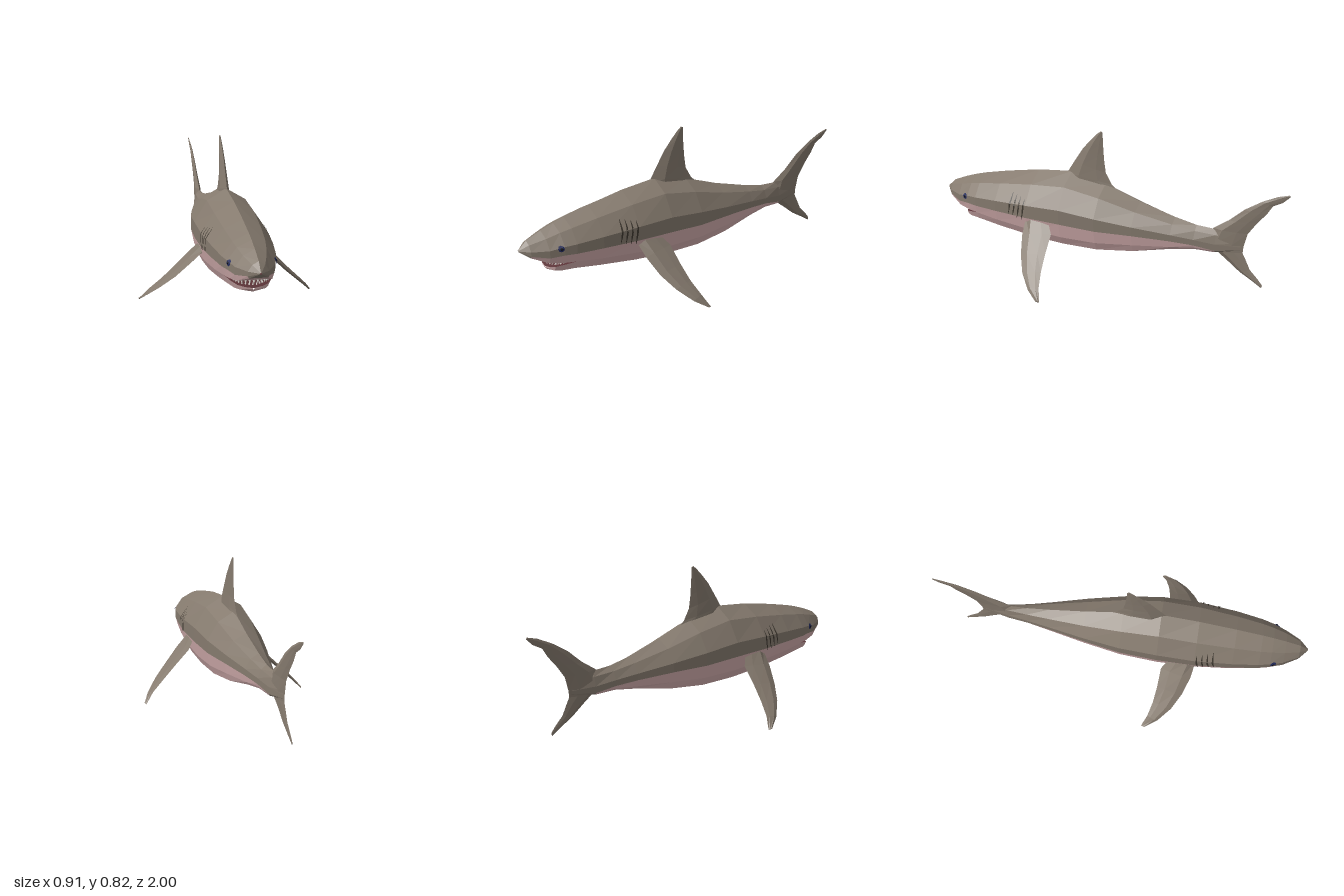
import * as THREE from 'three';

const mat = (name, color, side = THREE.FrontSide) => {
  const m = new THREE.MeshStandardMaterial({ color, side });
  m.name = name;
  return m;
};

// Faceted mesh from a list of triangles (each three Vector3)
function facets(name, tris, material) {
  const g = new THREE.BufferGeometry().setFromPoints(tris.flat());
  g.computeVertexNormals();
  const mesh = new THREE.Mesh(g, material);
  mesh.name = name;
  return mesh;
}

// Skin between successive rings; rings run nose to tail, counterclockwise from the front
function skin(rings, closed = false) {
  const tris = [];
  for (let i = 0; i < rings.length - 1; i++) {
    const a = rings[i], b = rings[i + 1], n = a.length;
    for (let j = 0; j < (closed ? n : n - 1); j++) {
      const k = (j + 1) % n;
      tris.push([a[j], b[j], b[k]], [a[j], b[k], a[k]]);
    }
  }
  return tris;
}

// Body stations: z, half width, top, colour line, cheek, bottom
const body = [
  [0.995, 0.004, 0.358, 0.353, 0.352, 0.35],
  [0.95, 0.05, 0.4, 0.332, 0.322, 0.3],
  [0.87, 0.092, 0.435, 0.318, 0.29, 0.25],
  [0.8, 0.115, 0.46, 0.325, 0.282, 0.23],
  [0.74, 0.13, 0.478, 0.325, 0.28, 0.222],
  [0.6, 0.15, 0.512, 0.328, 0.27, 0.208],
  [0.4, 0.167, 0.553, 0.33, 0.26, 0.19],
  [0.2, 0.166, 0.578, 0.33, 0.25, 0.178],
  [0, 0.15, 0.54, 0.322, 0.25, 0.18],
  [-0.2, 0.115, 0.475, 0.322, 0.265, 0.205],
  [-0.4, 0.072, 0.425, 0.315, 0.28, 0.255],
  [-0.52, 0.048, 0.403, 0.307, 0.293, 0.278],
  [-0.63, 0.028, 0.4, 0.29, 0.285, 0.278],
  [-0.76, 0.004, 0.36, 0.31, 0.308, 0.306],
];
const jaw = [
  [0.852, 0.004, 0, 0.247, 0.245, 0.238],
  [0.848, 0.045, 0, 0.29, 0.251, 0.23],
  [0.832, 0.08, 0, 0.3, 0.258, 0.222],
  [0.8, 0.105, 0, 0.31, 0.268, 0.22],
  body[4],
];

// Half-section points of one station
function section([z, w, top, line, cheek, bot]) {
  const p = (x, y) => new THREE.Vector3(x, y, z);
  return {
    top: p(0, top), shoulder: p(0.6 * w, line + (top - line) * 0.76),
    mid: p(w, line + (top - line) * 0.32), line: p(w, line),
    cheek: p(0.9 * w, cheek), low: p(0.76 * w, bot + (line - bot) * 0.17), bottom: p(0, bot),
  };
}
const mirror = (v) => new THREE.Vector3(-v.x, v.y, v.z);
const pick = (rows, ...keys) => rows.map((r) => {
  const s = section(r);
  return keys.map((k) => (k[0] === '-' ? mirror(s[k.slice(1)]) : s[k]));
});

// Point on the flank, lifted slightly, at a given height and length position
function onFlank(side, y, z, lift) {
  const i = Math.max(1, body.findIndex((r) => r[0] <= z));
  const a = body[i - 1], b = body[i], t = (z - a[0]) / (b[0] - a[0]);
  const s = section(a.map((v, k) => v + (b[k] - v) * t));
  const pts = [s.line, s.mid, s.shoulder, s.top];
  let k = 0;
  while (k < 2 && y > pts[k + 1].y) k++;
  const u = (y - pts[k].y) / (pts[k + 1].y - pts[k].y);
  return new THREE.Vector3(side * (pts[k].x + (pts[k + 1].x - pts[k].x) * u + lift), y, z);
}

// Tapered fin: stations of [leading point, trailing point, half thickness]
function fin(name, stations, normal, material) {
  const rings = stations.map(([lead, trail, t]) => {
    const at = (f, h) => lead.clone().lerp(trail, f).addScaledVector(normal, h * t);
    return [at(0, 0), at(0.28, 1), at(0.7, 0.6), at(1, 0), at(0.7, -0.6), at(0.28, -1)];
  });
  let tris = skin(rings, true);
  for (const [r, flip] of [[rings[0], false], [rings[rings.length - 1], true]])
    for (let i = 1; i < 5; i++)
      tris.push(flip ? [r[0], r[i + 1], r[i]] : [r[0], r[i], r[i + 1]]);
  // Turn the skin outward when it encloses a negative volume
  const c = rings[0][0];
  const volume = tris.reduce((sum, [p, q, r]) => sum +
    p.clone().sub(c).dot(q.clone().sub(c).cross(r.clone().sub(c))), 0);
  if (volume < 0) tris = tris.map(([p, q, r]) => [p, r, q]);
  return facets(name, tris, material);
}
const flat = (rows) => rows.map(([z1, y1, z2, y2, t]) =>
  [new THREE.Vector3(0, y1, z1), new THREE.Vector3(0, y2, z2), t]);

export function createModel() {
  const model = new THREE.Group();
  model.name = 'shark';
  const grey = mat('greyBrownSkin', 0x857a6e);
  const pink = mat('paleBelly', 0xd2adad);
  const mouth = mat('mouthInside', 0x5a3236, THREE.DoubleSide);
  const white = mat('teeth', 0xf0ece4);
  const dark = mat('gillSlits', 0x3d372f, THREE.DoubleSide);
  const navy = mat('eyeBlue', 0x222a5c, THREE.DoubleSide);
  const black = mat('pupil', 0x0c0d14, THREE.DoubleSide);

  // Body: dark back, pale belly, and a grey tail root
  model.add(facets('back', skin(pick(body, 'line', 'mid', 'shoulder', 'top',
    '-shoulder', '-mid', '-line')), grey));
  const under = ['-line', '-cheek', '-low', 'bottom', 'low', 'cheek', 'line'];
  model.add(facets('belly', skin(pick(body.slice(4, 13), ...under)), pink));
  model.add(facets('tailRoot', skin(pick(body.slice(12), ...under)), grey));

  // Head: upper lip, snout underside, lower jaw and open mouth
  const head = body.slice(0, 5);
  model.add(facets('upperLip', [...skin(pick(head.slice(1), '-line', '-cheek')),
    ...skin(pick(head.slice(1), 'cheek', 'line'))], pink));
  model.add(facets('noseUnderside', skin(pick(head.slice(0, 2), '-line', '-cheek', 'cheek', 'line')), grey));
  model.add(facets('snoutUnderside', skin(pick(head.slice(1, 3), '-cheek', 'cheek')), pink));
  model.add(facets('palate', skin(pick(head.slice(2), '-cheek', 'cheek')), mouth));
  model.add(facets('lowerJaw', skin(pick(jaw, '-cheek', '-low', 'bottom', 'low', 'cheek')), pink));
  model.add(facets('mouthFloor', skin(pick(jaw, 'cheek', '-cheek')), mouth));

  // Teeth along both jaws
  const tooth = new THREE.ConeGeometry(0.0075, 0.024, 4).toNonIndexed();
  tooth.computeVertexNormals();
  for (let i = 0; i < 13; i++) {
    const a = (i / 12 - 0.5) * 2.7, c = Math.cos(a), s = Math.sin(a);
    const upper = new THREE.Mesh(tooth, white);
    upper.name = 'upperTooth';
    upper.rotation.x = Math.PI;
    upper.position.set(0.086 * s, 0.276, 0.775 + 0.082 * c);
    const lower = new THREE.Mesh(tooth, white);
    lower.name = 'lowerTooth';
    lower.scale.setScalar(0.8);
    lower.position.set(0.078 * s, 0.275 - 0.014 * c, 0.775 + 0.06 * c);
    model.add(upper, lower);
  }

  // Dorsal and tail fins
  const X = new THREE.Vector3(1, 0, 0);
  model.add(fin('dorsalFin', flat([
    [0.24, 0.55, -0.1, 0.485, 0.026], [0.22, 0.58, -0.035, 0.54, 0.024], [0.18, 0.645, 0, 0.6, 0.018],
    [0.135, 0.715, 0.01, 0.67, 0.013], [0.09, 0.768, 0.015, 0.74, 0.009],
    [0.05, 0.81, 0.018, 0.795, 0.005], [0.03, 0.826, 0.018, 0.82, 0.003]]), X, grey));
  model.add(fin('upperTailLobe', flat([
    [-0.58, 0.34, -0.775, 0.33, 0.02], [-0.61, 0.405, -0.793, 0.405, 0.015],
    [-0.69, 0.462, -0.84, 0.475, 0.011], [-0.77, 0.535, -0.885, 0.53, 0.008],
    [-0.86, 0.595, -0.915, 0.58, 0.006], [-0.94, 0.635, -0.965, 0.608, 0.004],
    [-0.995, 0.652, -1, 0.643, 0.002]]), X, grey));
  model.add(fin('lowerTailLobe', flat([
    [-0.58, 0.34, -0.775, 0.33, 0.02], [-0.63, 0.282, -0.772, 0.295, 0.014],
    [-0.69, 0.24, -0.788, 0.265, 0.01], [-0.76, 0.188, -0.815, 0.21, 0.007],
    [-0.83, 0.15, -0.86, 0.165, 0.005], [-0.88, 0.12, -0.885, 0.135, 0.002]]), X, grey));

  for (const side of [1, -1]) {
    const name = side > 0 ? 'left' : 'right';
    // Pectoral fin
    const v = (x, y, z) => new THREE.Vector3(side * x, y, z);
    model.add(fin(name + 'PectoralFin', [
      [v(0.145, 0.32, 0.41), v(0.145, 0.335, 0.275), 0.016],
      [v(0.215, 0.25, 0.395), v(0.19, 0.275, 0.232), 0.013],
      [v(0.29, 0.172, 0.362), v(0.27, 0.195, 0.225), 0.011],
      [v(0.36, 0.108, 0.315), v(0.34, 0.125, 0.213), 0.009],
      [v(0.42, 0.05, 0.25), v(0.405, 0.065, 0.192), 0.007],
      [v(0.456, 0.012, 0.185), v(0.45, 0.008, 0.165), 0.004]],
      v(0.7, 0.71, 0), grey));

    // Gill slits
    for (let i = 0; i < 4; i++) {
      const rings = [0, 0.25, 0.5, 0.75, 1].map((t) => {
        const y = 0.335 + 0.115 * t - 0.006 * i;
        const z = 0.495 - 0.028 * i + 0.015 * (1 - t) * (1 - t), w = 0.004 * Math.sin(Math.PI * t) + 0.001;
        return [onFlank(side, y, z - w, 0.004), onFlank(side, y, z + w, 0.004)];
      });
      model.add(facets(name + 'GillSlit', skin(rings), dark));
    }

    // Eye and pupil discs
    const disc = (part, r, lift, material) => {
      const at = (i) => onFlank(side, 0.361 + r * Math.sin(i * Math.PI / 4),
        0.818 + r * Math.cos(i * Math.PI / 4), lift);
      const hub = onFlank(side, 0.361, 0.818, lift + 0.002);
      model.add(facets(part, Array.from({ length: 8 }, (_, i) =>
        (side > 0 ? [hub, at(i + 1), at(i)] : [hub, at(i), at(i + 1)])), material));
    };
    disc(name + 'Eye', 0.016, 0.004, navy);
    disc(name + 'Pupil', 0.007, 0.007, black);
  }
  return model;
}
